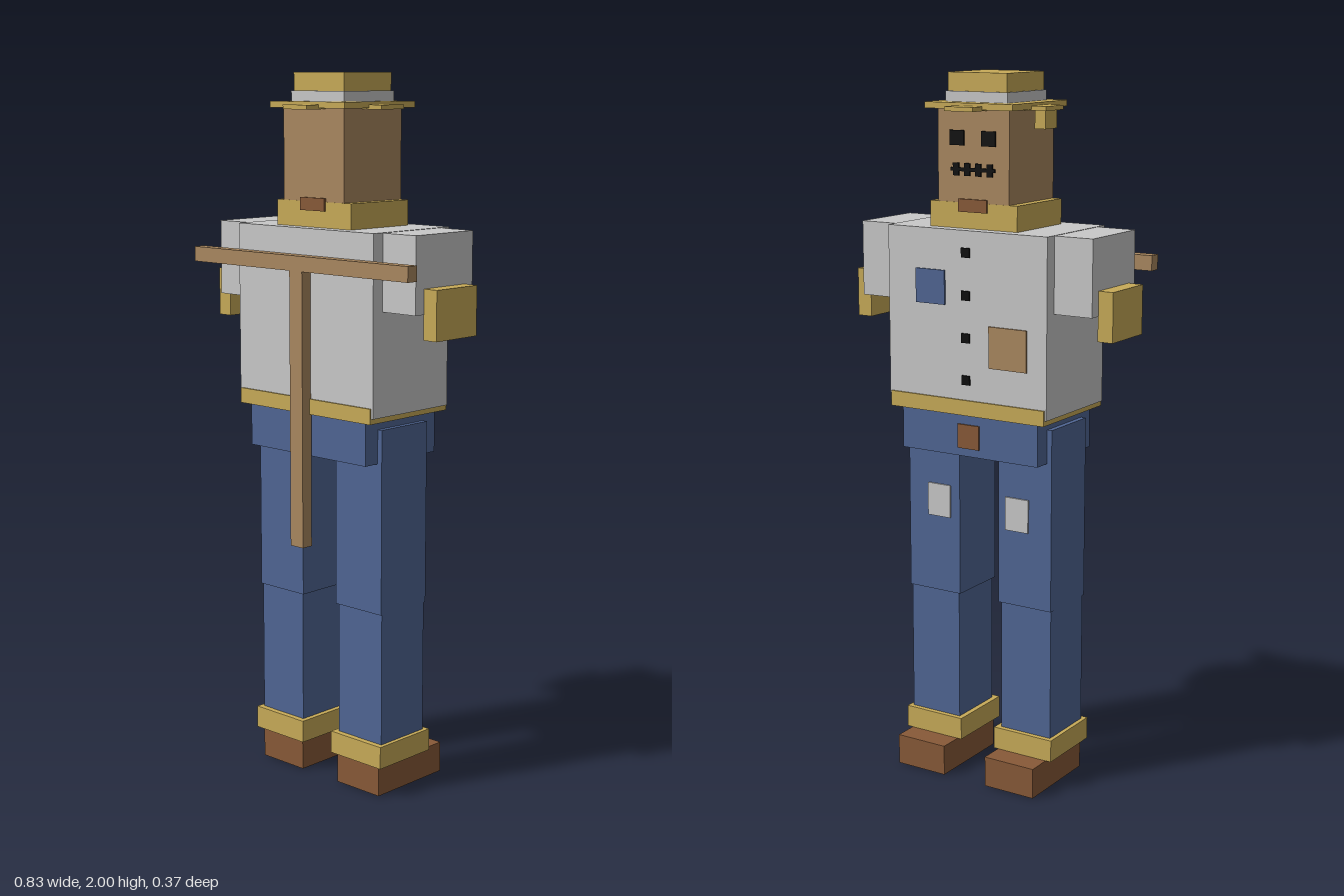
import * as THREE from 'three';

const mat = (name, color) => {
  const m = new THREE.MeshStandardMaterial({ color });
  m.name = name;
  return m;
};

export function createModel() {
  const straw = mat('straw', 0xc8ab58);
  const cloth = mat('greyCloth', 0xc9c9c9);
  const denim = mat('denim', 0x506694);
  const leather = mat('leather', 0x885a38);
  const wood = mat('tan', 0xaa8860);
  const black = mat('black', 0x0c0c0c);

  const model = new THREE.Group();
  model.name = 'scarecrow';

  // Box given by its lower and upper limits on each axis
  const box = (name, m, [x0, x1], [y0, y1], [z0, z1]) => {
    const mesh = new THREE.Mesh(new THREE.BoxGeometry(x1 - x0, y1 - y0, z1 - z0), m);
    mesh.position.set((x0 + x1) / 2, (y0 + y1) / 2, (z0 + z1) / 2);
    mesh.name = name;
    model.add(mesh);
  };
  const pair = (name, m, [x0, x1], y, z) => {
    box(name + 'Left', m, [x0, x1], y, z);
    box(name + 'Right', m, [-x1, -x0], y, z);
  };
  const sym = (v) => [-v, v];
  // Thin plate on a surface that faces -z
  const plate = (name, m, x, y, w, h, z) =>
    box(name, m, [x - w / 2, x + w / 2], [y - h / 2, y + h / 2], [z - 0.005, z + 0.003]);

  // Legs and shoes
  pair('shoe', leather, [0.07, 0.23], [0, 0.088], [-0.17, 0.095]);
  pair('strawCuff', straw, [0.057, 0.247], [0.088, 0.152], [-0.1, 0.107]);
  pair('lowerLeg', denim, [0.072, 0.235], [0.15, 0.53], [-0.085, 0.09]);
  pair('upperLeg', denim, [0.065, 0.237], [0.53, 1.05], [-0.09, 0.095]);
  plate('kneePatchLeft', cloth, 0.133, 0.8, 0.075, 0.095, -0.09);
  plate('kneePatchRight', cloth, -0.127, 0.795, 0.075, 0.095, -0.09);

  // Hips, waist and shirt
  box('hips', denim, sym(0.222), [0.955, 1.08], [-0.14, 0.143]);
  plate('buckle', leather, 0, 1.012, 0.07, 0.068, -0.14);
  box('strawWaist', straw, sym(0.25), [1.075, 1.118], sym(0.157));
  box('torso', cloth, sym(0.256), [1.09, 1.585], sym(0.152));
  pair('sleeve', cloth, [0.25, 0.372], [1.375, 1.584], sym(0.115));
  pair('strawHand', straw, [0.371, 0.416], [1.307, 1.443], sym(0.082));
  for (let i = 0; i < 4; i++) plate('button' + (i + 1), black, 0, 1.525 - i * 0.117, 0.026, 0.026, -0.152);
  plate('chestPatch', denim, 0.115, 1.425, 0.095, 0.095, -0.152);
  plate('bellyPatch', wood, -0.135, 1.273, 0.12, 0.115, -0.152);

  // Neck and head
  box('strawNeck', straw, sym(0.14), [1.585, 1.655], sym(0.115));
  box('neckTie', leather, sym(0.046), [1.63, 1.665], sym(0.12));
  box('head', wood, sym(0.114), [1.65, 1.907], sym(0.114));
  for (const s of [-1, 1]) plate('eye', black, s * 0.05, 1.828, 0.045, 0.04, -0.114);
  plate('mouth', black, 0, 1.744, 0.14, 0.01, -0.114);
  for (const x of [-0.054, -0.018, 0.018, 0.054]) plate('mouthStitch', black, x, 1.744, 0.018, 0.034, -0.114);

  // Hat
  box('brimSideTabs', straw, sym(0.185), [1.902, 1.914], sym(0.045));
  box('brimEndTabs', straw, sym(0.045), [1.902, 1.914], sym(0.185));
  box('brim', straw, sym(0.14), [1.905, 1.922], sym(0.14));
  box('hatBand', cloth, sym(0.099), [1.92, 1.95], sym(0.099));
  box('hatCrown', straw, sym(0.094), [1.945, 2], sym(0.094));
  box('hatTassel', straw, [-0.166, -0.132], [1.852, 1.905], [-0.015, 0.045]);

  // Support pole behind the figure
  box('pole', wood, sym(0.024), [0.7, 1.47], [0.15, 0.185]);
  box('crossbar', wood, sym(0.406), [1.47, 1.512], [0.15, 0.185]);

  return model;
}
